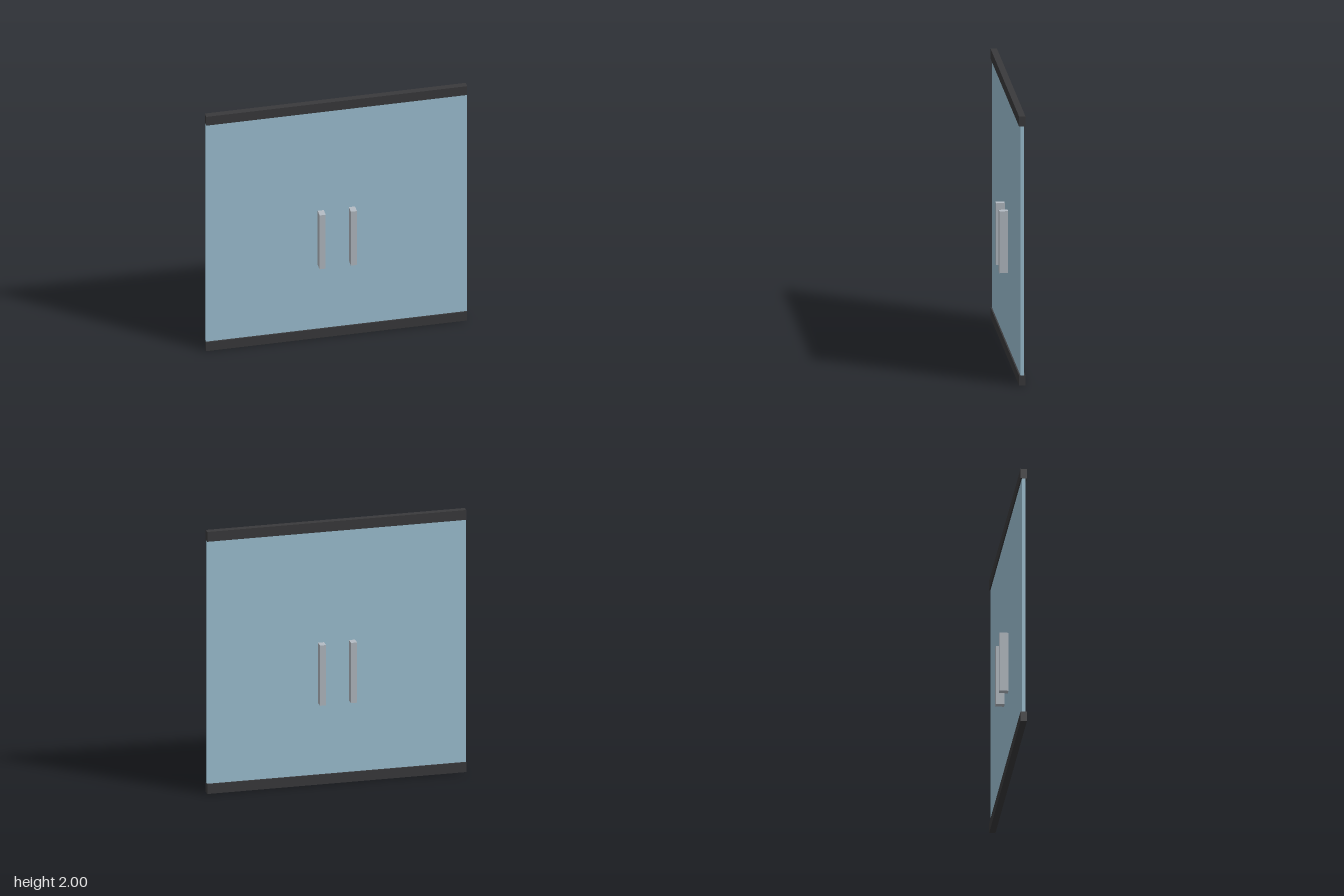
import * as THREE from 'three';

export function createModel() {
  const model = new THREE.Group();
  model.name = 'glassDoor';

  const glass = new THREE.MeshStandardMaterial({ color: 0x9fc3d6 });
  const darkMetal = new THREE.MeshStandardMaterial({ color: 0x3a3a3c });
  const steel = new THREE.MeshStandardMaterial({ color: 0xb4bcc4 });

  const addBox = (name, material, [w, h, d], [x, y, z]) => {
    const mesh = new THREE.Mesh(new THREE.BoxGeometry(w, h, d), material);
    mesh.name = name;
    mesh.position.set(x, y, z);
    model.add(mesh);
  };

  const width = 1.92, height = 2, railHeight = 0.075;

  // Glass pane held between the two rails
  addBox('glassPane', glass, [width, height - 2 * railHeight, 0.026], [0, height / 2, 0]);

  // Top and bottom rails
  addBox('bottomRail', darkMetal, [width, railHeight, 0.046], [0, railHeight / 2, 0]);
  addBox('topRail', darkMetal, [width, railHeight, 0.046], [0, height - railHeight / 2, 0]);

  // Pull handles, standing out on both faces of the glass
  for (const side of [-1, 1]) {
    for (const face of [-1, 1]) {
      const name = (side > 0 ? 'left' : 'right') + (face > 0 ? 'Front' : 'Back') + 'Handle';
      addBox(name, steel, [0.045, 0.46, 0.064], [side * 0.115, 0.85, face * 0.045]);
    }
  }

  return model;
}
